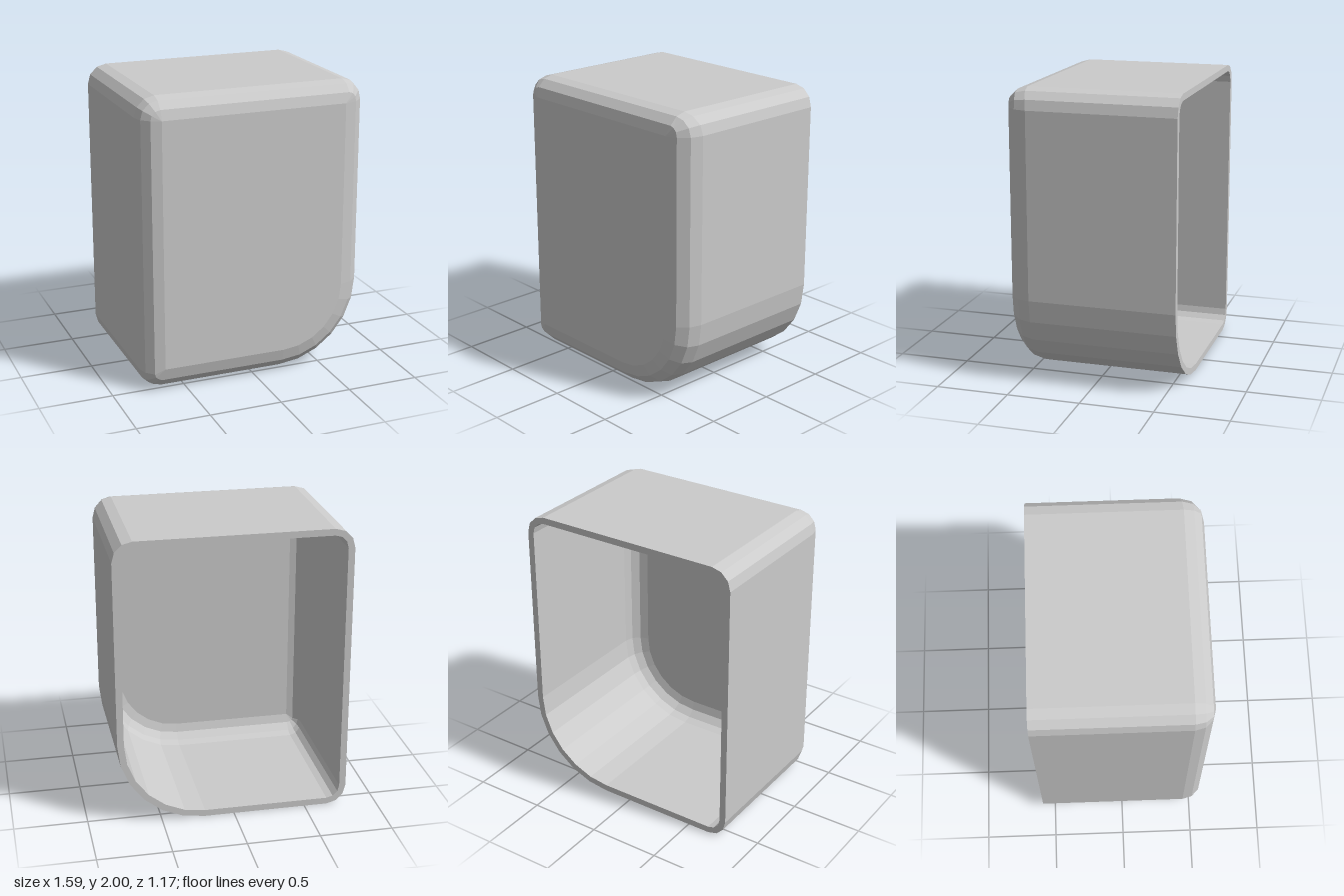
import * as THREE from 'three';

const X = 0.793, TOP = 2, Z = 0.585; // half width, height, half depth
const WALL = 0.045;
const SMALL = 0.135, LARGE = 0.59;   // corner radii of the outline
const F1 = 0.137, F2 = 0.167;        // front fillets: left/top and right/bottom

// corners counter-clockwise: direction, radius, fillets of the vertical (fx) and horizontal (fy) sides
const corners = [
  { sx: 1, sy: -1, r: LARGE, n: 6, start: -90, fx: F2, fy: F2 },
  { sx: 1, sy: 1, r: SMALL, n: 3, start: 0, fx: F2, fy: F1 },
  { sx: -1, sy: 1, r: SMALL, n: 3, start: 90, fx: F1, fy: F1 },
  { sx: -1, sy: -1, r: SMALL, n: 3, start: 180, fx: F1, fy: F2 },
];

// One outline loop: theta runs round the front fillet, wall insets it for the inside,
// z overrides the depth for the straight rear end
function loop(theta, wall, z) {
  const points = [];
  const inset = (f) => f - (f - wall) * Math.sin(theta);
  for (const c of corners) {
    const dx = inset(c.fx), dy = inset(c.fy);
    const rx = Math.max(0.002, c.r - dx), ry = Math.max(0.002, c.r - dy);
    const cx = c.sx * (X - dx - rx);
    const cy = TOP / 2 + c.sy * (TOP / 2 - dy - ry);
    for (let i = 0; i <= c.n; i++) {
      const a = THREE.MathUtils.degToRad(c.start + (90 * i) / c.n);
      const f = THREE.MathUtils.lerp(c.fx, c.fy, Math.sin(a) ** 2);
      const depth = z ?? Z - f + (f - wall) * Math.cos(theta);
      points.push([cx + rx * Math.cos(a), cy + ry * Math.sin(a), depth]);
    }
  }
  return points;
}

function shellGeometry() {
  const count = corners.reduce((sum, c) => sum + c.n + 1, 0);
  const centre = (z) => Array.from({ length: count }, () => [0, 1, z]);
  const angles = [0, 1, 2, 3].map((i) => (i * Math.PI) / 6);
  // front face, outer fillet, rear rim, inner fillet, inner front face
  const rings = [
    centre(Z),
    ...angles.map((t) => loop(t, 0)),
    loop(Math.PI / 2, 0, -Z),
    loop(Math.PI / 2, WALL, -Z),
    ...angles.reverse().map((t) => loop(t, WALL)),
    centre(Z - WALL),
  ];
  const positions = [];
  for (let i = 0; i < rings.length - 1; i++) {
    for (let j = 0; j < count; j++) {
      const k = (j + 1) % count;
      const a = rings[i][j], b = rings[i][k], c = rings[i + 1][k], d = rings[i + 1][j];
      if (i < rings.length - 2) positions.push(...a, ...d, ...c);
      if (i > 0) positions.push(...a, ...c, ...b);
      if (i === rings.length - 2) continue;
    }
  }
  const geometry = new THREE.BufferGeometry();
  geometry.setAttribute('position', new THREE.Float32BufferAttribute(positions, 3));
  geometry.computeVertexNormals();
  return geometry;
}

export function createModel() {
  const model = new THREE.Group();
  model.name = 'openBackedCover';
  const shell = new THREE.Mesh(
    shellGeometry(),
    new THREE.MeshStandardMaterial({ color: 0xcccccc, flatShading: true })
  );
  shell.name = 'shell';
  model.add(shell);
  return model;
}
